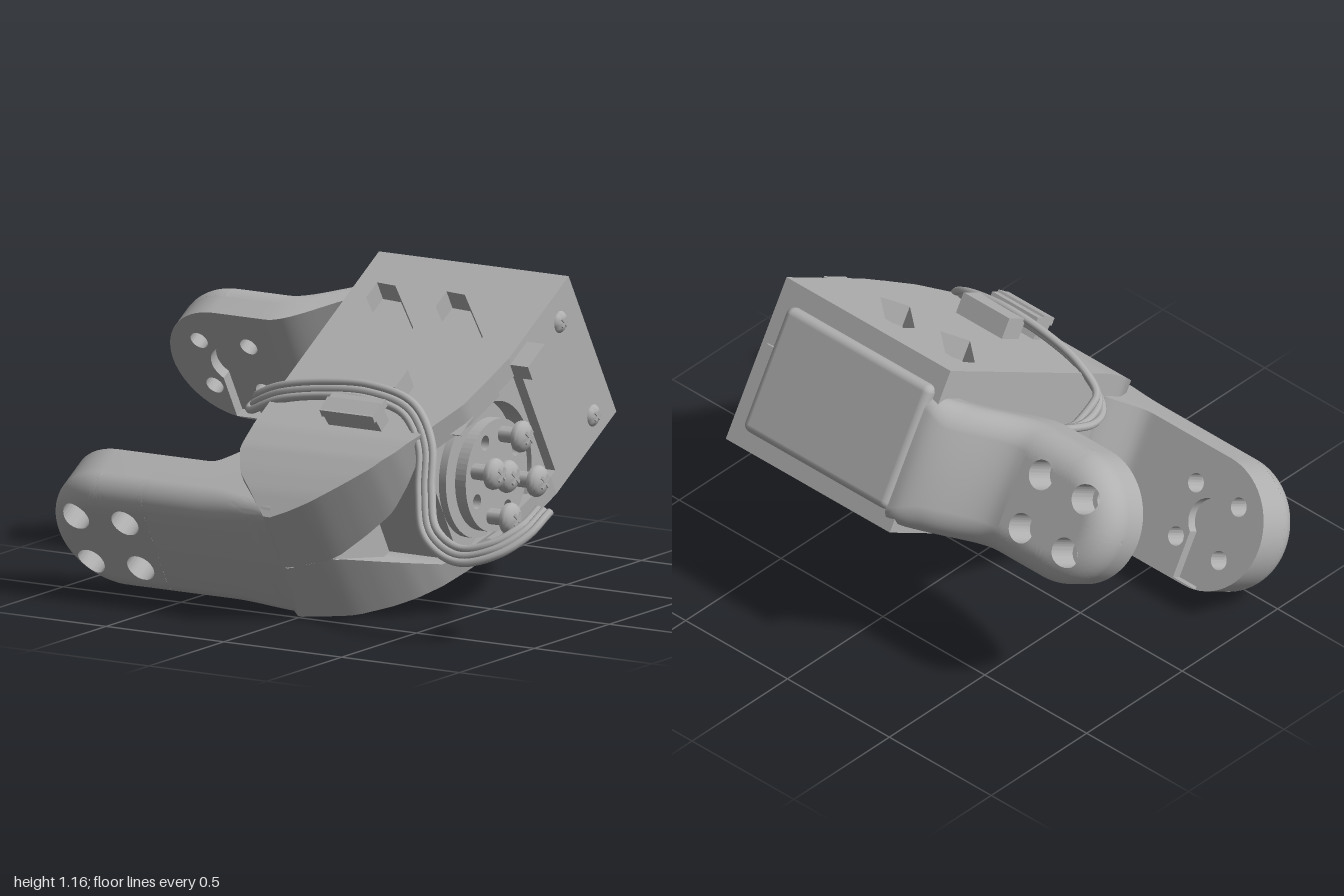
import * as THREE from 'three';
import { toCreasedNormals } from 'three/addons/utils/BufferGeometryUtils.js';
import { RoundedBoxGeometry } from 'three/addons/geometries/RoundedBoxGeometry.js';

const grey = new THREE.MeshStandardMaterial({ color: 0xb0b0b0, side: THREE.DoubleSide });
grey.name = 'grey plastic';
const V = (x, y, z) => new THREE.Vector3(x, y, z);
const MID = 0.497;

function add(parent, name, geo, x = 0, y = 0, z = 0) {
  const m = new THREE.Mesh(geo, grey);
  m.name = name;
  m.position.set(x, y, z);
  parent.add(m);
  return m;
}
const box = (p, name, w, h, d, x, y, z) => add(p, name, new THREE.BoxGeometry(w, h, d), x, y, z);

// Surface through rows of points
function grid(rows, closed = false) {
  const n = rows[0].length, idx = [], g = new THREE.BufferGeometry();
  g.setFromPoints(rows.flat());
  for (let i = 0; i < rows.length - 1; i++)
    for (let j = 0; j < (closed ? n : n - 1); j++) {
      const k = (j + 1) % n, a = i * n + j, b = i * n + k, c = a + n, d = b + n;
      idx.push(a, b, c, b, d, c);
    }
  g.setIndex(idx);
  return toCreasedNormals(g, 0.6);
}

// Piecewise linear lookup
function lerp(table, t) {
  if (t <= table[0][0]) return table[0][1];
  for (let i = 1; i < table.length; i++) {
    const [a, va] = table[i - 1], [b, vb] = table[i];
    if (t <= b) return va + (vb - va) * (t - a) / (b - a);
  }
  return table[table.length - 1][1];
}

// Rectangular sections swept along z: f(z) gives [left, right, bottom, top]
function loft(z0, z1, f) {
  const rows = [];
  for (let i = 0; i <= 32; i++) {
    const z = z0 + (z1 - z0) * i / 32, [l, r, b, t] = f(z);
    rows.push([V(l, b, z), V(l, t, z), V(r, t, z), V(r, b, z)]);
  }
  const centre = row => Array(4).fill(row[0].clone().add(row[2]).multiplyScalar(0.5));
  return grid([centre(rows[0]), ...rows, centre(rows[32])], true);
}

const polygon = pts => new THREE.Shape(pts.map(p => new THREE.Vector2(...p)));
const circle = (x, y, r) => new THREE.Path().absarc(x, y, r, 0, Math.PI * 2, true);
const extrude = (shape, depth) => new THREE.ExtrudeGeometry(shape, { depth, bevelEnabled: false, curveSegments: 32 });

// Arm with a domed outside, round drilled end and keyhole on the inside.
// Past bendX the beam moves outward by push, down by drop, and its inside thickens by flare.
function arm(parent, name, { zIn, s, midY, T, r, rootX, bendX, push, drop, flare, sharpen }) {
  const R = 0.25, H = 0.105, X = -0.75, L = 0.2;
  const g = new THREE.Group();
  g.name = name;
  parent.add(g);
  const P = (a, b, w) => V(X + a, midY + b, zIn + s * w);
  const dome = (a, b) => {
    const d = Math.max(0, R - (a < 0 ? Math.hypot(a, b) : Math.abs(b)));
    return d >= r ? T : T - r + Math.sqrt(Math.max(0, r * r - (r - d) ** 2));
  };
  // Four outside patches, each around one stepped bolt hole
  for (const sa of [-1, 1]) for (const sb of [-1, 1]) {
    // Rays through the corners, packed closer where the edge rounds off
    const targets = [[0, 0], ...(sa < 0 ? [] : [[L, 0]])];
    for (const d of [0, 0.0015, 0.006, 0.015, 0.03, 0.05])
      targets.push([0, R - d], sa < 0 ? [R - d, 0] : [L, R - d]);
    const angles = targets.map(([a, b]) => Math.atan2(b - H, a - H));
    for (let i = 0; i < 72; i++) angles.push((i + 0.5) / 36 * Math.PI - Math.PI);
    angles.sort((a, b) => a - b);
    const rows = [];
    const ring = f => rows.push(angles.map(t => f(Math.cos(t), Math.sin(t))));
    for (const [q, w] of [[0.035, 0], [0.035, 0.08], [0.055, 0.08]])
      ring((c, n) => P(sa * (H + q * c), sb * (H + q * n), w));
    for (let k = 0; k <= 12; k++) ring((c, n) => {
      const e = 1e-9, dots = H * (c + n);
      let t = Math.min(c < -e ? -H / c : 9, n < -e ? -H / n : 9);
      if (sa < 0) t = Math.min(t, -dots + Math.sqrt(dots * dots + R * R - 2 * H * H));
      else t = Math.min(t, c > e ? (L - H) / c : 9, n > e ? (R - H) / n : 9);
      const u = 1 - (1 - k / 12) ** 2, q = 0.055 + (t - 0.055) * u;
      const a = sa * (H + q * c), b = sb * (H + q * n);
      return P(a, b, dome(a, b));
    });
    add(g, 'drilledArmEnd', grid(rows, true));
  }
  // Side wall of the end
  const rim = [[L, R]];
  for (let i = 0; i <= 32; i++) {
    const t = Math.PI / 2 + Math.PI * i / 32;
    rim.push([R * Math.cos(t), R * Math.sin(t)]);
  }
  rim.push([L, -R]);
  add(g, 'armRim', grid([0, T - r].map(w => rim.map(([a, b]) => P(a, b, w)))));
  // Inner face with holes and keyhole recess
  const face = polygon(rim);
  for (const a of [-H, H]) for (const b of [-H, H]) face.holes.push(circle(a, b, 0.035));
  const key = [[-0.055, -0.243]];
  for (let i = 0; i <= 24; i++) {
    const t = Math.PI * (1.275 - 1.55 * i / 24);
    key.push([0.085 * Math.cos(t), 0.085 * Math.sin(t)]);
  }
  key.push([0.055, -0.243]);
  face.holes.push(polygon(key));
  add(g, 'armInnerFace', new THREE.ShapeGeometry(face, 24), X, midY, zIn);
  const wall = [...key, key[0]];
  add(g, 'keyholeWall', grid([0, 0.04].map(w => wall.map(([a, b]) => P(a, b, w)))));
  add(g, 'keyholeFloor', new THREE.ShapeGeometry(polygon(key)), X, midY, zIn + s * 0.04);
  // Straight part running into the body
  const rows = [];
  for (let i = 0; i <= 24; i++) {
    const x = X + L + (rootX - X - L) * i / 24, k = THREE.MathUtils.smoothstep(x, bendX, -0.2);
    const q = r - sharpen * THREE.MathUtils.smoothstep(x, -0.3, rootX);
    const pts = [[-R, -flare * k]];
    for (let j = 0; j <= 24; j++) {
      const t = Math.PI * (1 - j / 24), c = Math.cos(t);
      const off = j === 12 ? 0 : Math.sign(c) * (R - q);
      pts.push([off + q * c, T - q + q * Math.sin(t)]);
    }
    pts.push([R, -flare * k]);
    rows.push(pts.map(([b, w]) => P(x - X, b - drop * k, w + push * k)));
  }
  add(g, 'armBeam', grid(rows, true));
}

// Domed cross-head screw pointing along +x
function screw(parent, x, y, z, rad, shaft) {
  const g = new THREE.Group();
  g.name = 'screw';
  g.position.set(x, y, z);
  parent.add(g);
  const h = rad * 0.8;
  const pts = [[0, -shaft], [rad * 0.5, -shaft], [rad * 0.5, 0], [rad * 0.95, 0]];
  for (let i = 0; i <= 6; i++) pts.push([rad * Math.cos(i * Math.PI / 12), h * (0.25 + 0.75 * Math.sin(i * Math.PI / 12))]);
  const head = new THREE.LatheGeometry(pts.map(p => new THREE.Vector2(...p)), 24);
  add(g, 'screwHead', toCreasedNormals(head.rotateZ(-Math.PI / 2), 0.6));
  for (const a of [0.3, 0.3 + Math.PI / 2])
    box(g, 'screwCross', 0.009, rad, rad * 0.2, h - 0.002, 0, 0).rotation.x = a;
}

export function createModel() {
  const model = new THREE.Group();
  model.name = 'servoBracket';
  const body = new THREE.Group();
  body.name = 'tiltedBracket';
  body.rotation.x = Math.PI / 6;
  model.add(body);

  // Rear housing: core and slotted plates
  const XL = -0.22, XR = 0.585;
  box(body, 'housingCore', XR - XL, 0.48, 0.425, (XL + XR) / 2, MID, -0.6975);
  for (const y of [0.178, 0.735]) {
    const plate = polygon([[XL, 0.35], [0.57, 0.35], [XR, 0.45], [XR, 0.91], [XL, 0.91]]);
    for (const dx of [0, 0.295])
      plate.holes.push(polygon([[-0.14, 0.75], [-0.06, 0.745], [0.13, 0.54], [0.05, 0.46], [-0.14, 0.665]].map(([x, v]) => [x + dx, v])));
    add(body, 'slottedPlate', extrude(plate, 0.08).rotateX(-Math.PI / 2), 0, y, 0);
  }

  // Curved nose in three layers, leaving a side pocket
  const right = z => lerp([[-0.4, 0.58], [-0.18, 0.54], [0, 0.46], [0.1, 0.405], [0.18, 0.345], [0.25, 0.27], [0.33, 0.17], [0.38, 0.08], [0.41, 0.01]], z);
  const left = z => lerp([[0.17, XL], [0.26, -0.18], [0.41, -0.02]], z);
  const top = z => lerp([[0.05, 0.815], [0.15, 0.803], [0.245, 0.776], [0.32, 0.75], [0.41, 0.705]], z);
  const bottom = z => lerp([[0.1, 0.178], [0.24, 0.185], [0.33, 0.2], [0.41, 0.238]], z);
  const upper = z => lerp([[0.04, 0.72], [0.16, 0.58], [0.33, 0.468]], z);
  const lower = z => lerp([[0.07, 0.258], [0.33, 0.465]], z);
  add(body, 'noseTop', loft(-0.35, 0.41, z => [left(z), right(z), upper(z), top(z)]));
  add(body, 'noseBottom', loft(-0.35, 0.41, z => [left(z), right(z), bottom(z), lower(z)]));
  add(body, 'noseCore', loft(0.03, 0.4, z => [left(z), Math.min(0.17, right(z)), lower(z), upper(z)]));

  // Servo case, rear cover and ears
  box(body, 'servoCase', 0.69, 0.48, 0.55, 0.125, MID, -0.235);
  add(body, 'servoRearCover', new RoundedBoxGeometry(0.71, 0.49, 0.1, 3, 0.03), 0.165, MID - 0.005, -0.897);
  for (const x of [-0.215, 0.53]) box(body, 'servoEar', 0.05, 0.14, 0.05, x, MID, -0.9);

  // Side panel with round clearance for the horn
  const panel = new THREE.Shape();
  const HY = 0.477, HZ = -0.195;
  panel.moveTo(0.485, 0.25).lineTo(0.485, 0.74).lineTo(0.1, 0.74);
  panel.absarc(-HZ, HY, 0.265, 1.9, -1.3, true);
  panel.lineTo(0.1, 0.25);
  add(body, 'sidePanel', extrude(panel, 0.075).rotateY(Math.PI / 2), 0.47, 0, 0);

  // Servo horn with screws
  add(body, 'hornBoss', new THREE.CylinderGeometry(0.235, 0.235, 0.03, 48).rotateZ(Math.PI / 2), 0.485, HY, HZ);
  add(body, 'hornHub', new THREE.CylinderGeometry(0.1, 0.1, 0.04, 32).rotateZ(Math.PI / 2), 0.51, HY, HZ);
  const horn = new THREE.Shape().absarc(0, 0, 0.205, 0, Math.PI * 2);
  for (const [a, b] of [[0.15, 0], [-0.15, 0], [0, 0.15], [0, -0.15]]) horn.holes.push(circle(a, b, 0.027));
  add(body, 'horn', extrude(horn, 0.045).rotateY(Math.PI / 2), 0.52, HY, HZ);
  screw(body, 0.6, HY, HZ, 0.06, 0.05);
  for (const a of [-0.105, 0.105]) for (const b of [-0.105, 0.105]) screw(body, 0.635, HY + a, HZ + b, 0.058, 0.08);

  // Housing screws and side tab
  for (const y of [0.706, 0.266]) screw(body, 0.57, y, -0.783, 0.042, 0.01);
  box(body, 'sideTab', 0.1, 0.06, 0.13, 0.61, 0.758, -0.51);

  // Cable clip prongs
  box(body, 'clipProng', 0.225, 0.11, 0.06, 0.185, 0.85, -0.015).rotation.x = 0.15;
  box(body, 'clipLip', 0.225, 0.03, 0.1, 0.185, 0.885, -0.02);
  box(body, 'clipProng', 0.225, 0.1, 0.1, 0.185, 0.845, -0.19);

  // Forked arms
  arm(body, 'frontArm', { zIn: 0.185, s: 1, midY: 0.477, T: 0.225, r: 0.095, rootX: 0, bendX: -0.36, push: 0, drop: 0, flare: 0.12, sharpen: 0.04 });
  arm(body, 'rearArm', { zIn: -0.555, s: -1, midY: MID, T: 0.208, r: 0.115, rootX: -0.18, bendX: -0.53, push: 0.17, drop: 0.04, flare: -0.07, sharpen: 0.05 });

  // Three-wire cable
  const path = new THREE.CatmullRomCurve3([
    [-0.2, 0.72, -0.05], [-0.3, 0.7, 0.04], [-0.36, 0.69, 0.16], [-0.33, 0.71, 0.28], [-0.2, 0.77, 0.325],
    [0, 0.81, 0.34], [0.2, 0.82, 0.34], [0.37, 0.78, 0.35], [0.48, 0.67, 0.41], [0.53, 0.52, 0.49],
    [0.6, 0.39, 0.565], [0.74, 0.33, 0.6], [0.87, 0.36, 0.565], [0.945, 0.42, 0.48], [0.96, 0.48, 0.37]].map(p => V(...p)));
  const normal = V(0, 0.49, 0.87);
  for (const k of [-1, 0, 1]) {
    const pts = [];
    for (let i = 0; i <= 60; i++) {
      const side = path.getTangent(i / 60).cross(normal).normalize();
      pts.push(path.getPoint(i / 60).addScaledVector(side, k * 0.026));
    }
    add(model, 'wire', new THREE.TubeGeometry(new THREE.CatmullRomCurve3(pts), 120, 0.015, 8));
  }
  return model;
}
